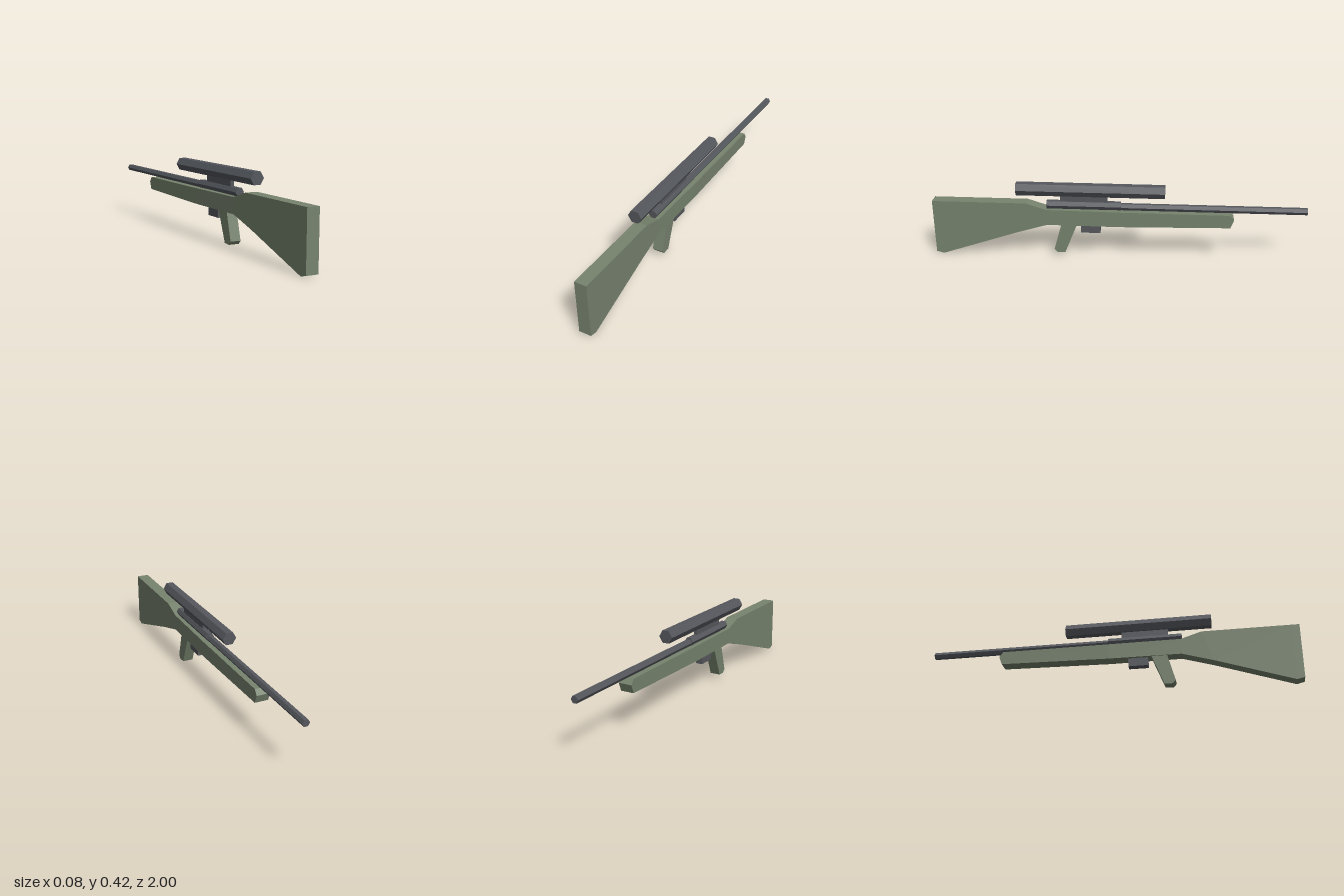
import * as THREE from 'three';

export function createModel() {
  const green = new THREE.MeshStandardMaterial({ color: 0x77836e });
  green.name = 'olive green';
  const metal = new THREE.MeshStandardMaterial({ color: 0x55585d });
  metal.name = 'gunmetal grey';
  for (const m of [green, metal]) m.flatShading = true;

  const model = new THREE.Group();
  model.name = 'scopedRifle';
  const add = (name, geometry, material) => {
    const mesh = new THREE.Mesh(geometry, material);
    mesh.name = name;
    model.add(mesh);
    return mesh;
  };

  // Loft of four-cornered sections: [bottom z, bottom y, top z, top y, half width]
  const loft = (sections) => {
    const points = [];
    const index = [];
    for (const [zb, b, zt, t, w] of sections) points.push(-w, b, zb, w, b, zb, w, t, zt, -w, t, zt);
    for (let i = 0; i < sections.length - 1; i++) {
      for (let j = 0; j < 4; j++) {
        const a = i * 4 + j, b = i * 4 + (j + 1) % 4;
        index.push(a, a + 4, b + 4, a, b + 4, b);
      }
    }
    const e = (sections.length - 1) * 4;
    index.push(0, 1, 2, 0, 2, 3, e, e + 2, e + 1, e, e + 3, e + 2);
    const indexed = new THREE.BufferGeometry();
    indexed.setAttribute('position', new THREE.Float32BufferAttribute(points, 3));
    indexed.setIndex(index);
    const geometry = indexed.toNonIndexed();
    geometry.computeVertexNormals();
    return geometry;
  };

  // Hexagonal bar along z, with flat top and bottom
  const hexBar = (name, radius, y, zBack, zFront) => {
    const geometry = new THREE.CylinderGeometry(radius, radius, zBack - zFront, 6);
    geometry.rotateY(Math.PI / 6).rotateX(Math.PI / 2);
    // keep two corners on the left and right sides
    geometry.rotateZ(cornerTurn(geometry));
    add(name, geometry, metal).position.set(0, y, (zBack + zFront) / 2);
  };
  const cornerTurn = (geometry) => {
    const p = geometry.attributes.position;
    return -Math.atan2(p.getY(0), p.getX(0));
  };

  const box = (name, w, y0, y1, z0, z1) =>
    add(name, new THREE.BoxGeometry(w, y1 - y0, z1 - z0), metal)
      .position.set(0, (y0 + y1) / 2, (z0 + z1) / 2);

  // Butt, wrist and fore-end
  add('stock', loft([
    [1, 0.012, 1, 0.312, 0.033],
    [0.96, 0.002, 0.96, 0.312, 0.033],
    [0.55, 0.139, 0.49, 0.312, 0.033],
    [0.38, 0.19, 0.38, 0.277, 0.033],
    [-0.01, 0.19, -0.01, 0.275, 0.036],
    [-0.6, 0.202, -0.596, 0.274, 0.036],
    [-0.6, 0.202, -0.617, 0.247, 0.036],
  ]), green);

  // Slanted pistol grip
  const grip = new THREE.Shape([
    [0.302, 0.2], [0.345, 0.045], [0.329, 0.026], [0.286, 0.028], [0.217, 0.2],
  ].map(([z, y]) => new THREE.Vector2(z, y)));
  const gripGeometry = new THREE.ExtrudeGeometry(grip, { depth: 0.058, bevelEnabled: false });
  gripGeometry.translate(0, 0, -0.029).rotateY(-Math.PI / 2);
  add('grip', gripGeometry, green);

  // Metal parts
  hexBar('receiver', 0.024, 0.299, 0.383, -0.016);
  hexBar('barrel', 0.0195, 0.295, 0, -1);
  hexBar('scope', 0.0375, 0.385, 0.545, -0.25);
  box('scopeMount', 0.02, 0.31, 0.36, 0.057, 0.31);
  box('magazine', 0.04, 0.144, 0.2, 0.095, 0.2);

  return model;
}
